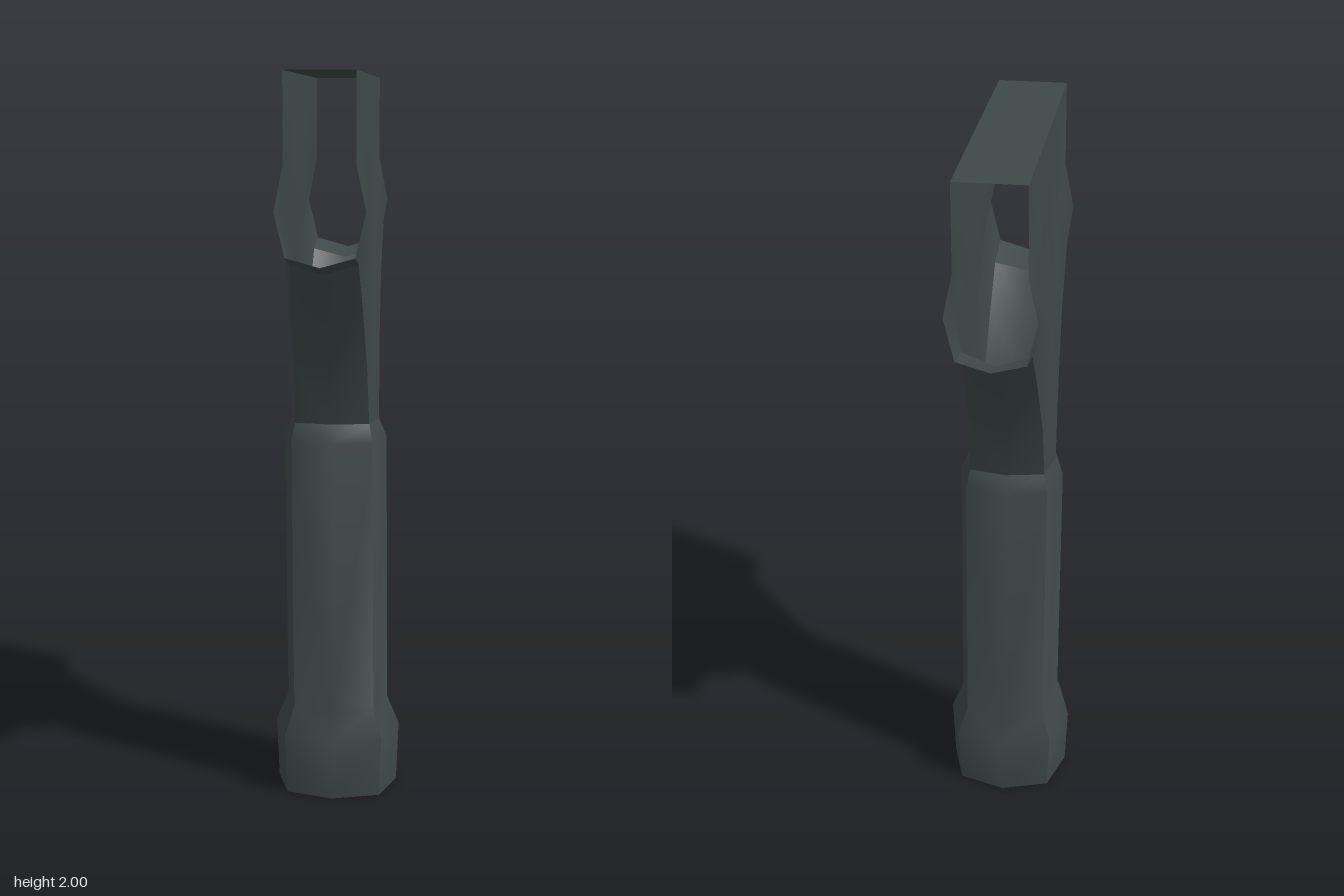
import * as THREE from 'three';
import { toCreasedNormals } from 'three/addons/utils/BufferGeometryUtils.js';

// Handle rows: y, ridge z, corner x, corner z, side x
const handleRows = [
  [0, 0.17, 0.13, 0.13, 0.17],
  [0.17, 0.176, 0.137, 0.137, 0.177],
  [0.25, 0.143, 0.112, 0.112, 0.143],
  [1.01, 0.143, 0.112, 0.112, 0.143],
  [1.06, 0.116, 0.102, 0.097, 0.122],
].map(([y, rz, cx, cz, sx]) => [[0, y, rz], [cx, y, cz], [sx, y, 0]]);

// Head rows run from the neck out to the open end.
// Each row: underside ridge, lower corner, bulge line, flat side, top edge, top middle
const headRows = [
  [[0.116, 1.06], [0.102, 1.06, 0.097], [0.122, 1.06, 0], [0.122, 1.06, 0]],
  [[0.16, 1.23], [0.1, 1.22, 0.137], [0.12, 1.28, 0.05], [0.108, 1.37, 0]],
  [[0.243, 1.38], [0.095, 1.39, 0.222], [0.118, 1.46, 0.13], [0.1, 1.57, 0.07]],
  [[0.307, 1.485], [0.09, 1.51, 0.29], [0.117, 1.6, 0.24], [0.094, 1.73, 0.2]],
  [[0.396, 1.51], [0.09, 1.535, 0.396], [0.117, 1.65, 0.396], [0.0925, 1.77, 0.396]],
].map(([ridge, corner, bulge, side]) => [
  [0, ridge[1], ridge[0]], corner, bulge, side,
  [0.0925, 2, side[2]], [0, 2, side[2]],
]);

// Mirrors one quarter grid into all four quadrants
function mirroredSurface(rows) {
  const pos = [];
  for (const sx of [1, -1]) for (const sz of [1, -1]) {
    // The upper part sits slightly off the handle axis
    const put = ([x, y, z]) =>
      pos.push(sx * x - 0.007 * Math.min(1, Math.max(0, y - 0.25)), y, sz * z);
    for (let i = 0; i < rows.length - 1; i++) {
      for (let j = 0; j < rows[i].length - 1; j++) {
        if (i === 0 && j >= 3) continue; // these quads collapse on the centre line
        const a = rows[i][j], b = rows[i][j + 1];
        const c = rows[i + 1][j + 1], d = rows[i + 1][j];
        const tris = sx * sz > 0 ? [a, b, c, a, c, d] : [a, c, b, a, d, c];
        tris.forEach(put);
      }
    }
  }
  const geo = new THREE.BufferGeometry();
  geo.setAttribute('position', new THREE.Float32BufferAttribute(pos, 3));
  return toCreasedNormals(geo, 0.72);
}

export function createModel() {
  const group = new THREE.Group();
  group.name = 'flatHeadedTool';
  const material = new THREE.MeshStandardMaterial({ color: 0x3f484a, side: THREE.DoubleSide });

  // Eight-sided handle with flared, open foot
  const handle = new THREE.Mesh(mirroredSurface(handleRows), material);
  handle.name = 'handle';

  // Wide flat head, closed on top and open at both narrow ends
  const head = new THREE.Mesh(mirroredSurface(headRows), material);
  head.name = 'head';

  // Whole body is turned slightly about its axis
  const body = new THREE.Group();
  body.name = 'body';
  body.rotation.y = 0.05;
  body.add(handle, head);
  group.add(body);
  return group;
}
